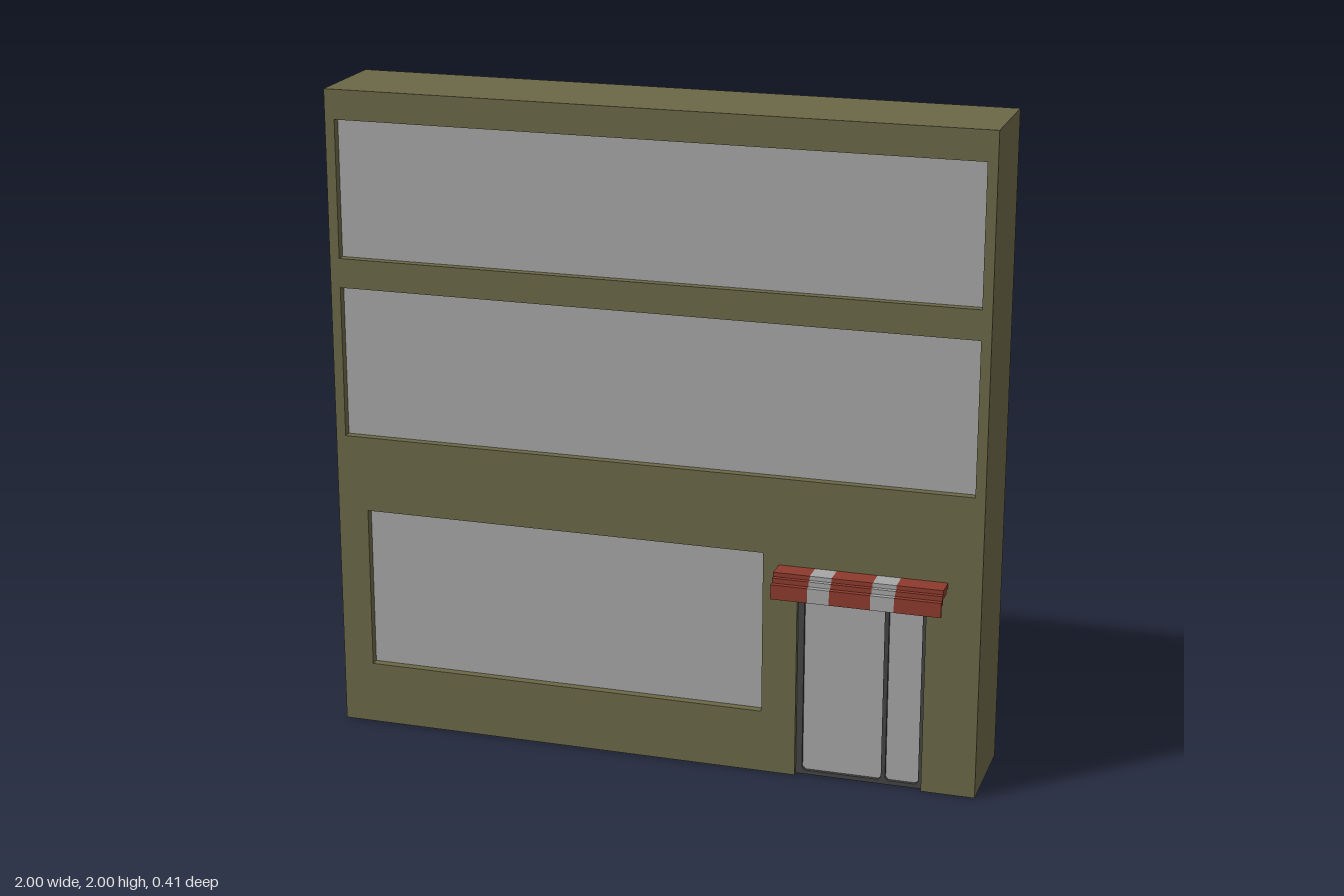
import * as THREE from 'three';

const BACK = -0.205, FRONT = 0.11, RECESS = 0.03;
const CORE = FRONT - RECESS;

// Closed path from [x, y] corners
const trace = (path, pts) => {
  pts.forEach(([x, y], i) => (i ? path.lineTo(x, y) : path.moveTo(x, y)));
  path.closePath();
  return path;
};
const rectPath = (x0, x1, y0, y1) => trace(new THREE.Path(), [[x0, y0], [x0, y1], [x1, y1], [x1, y0]]);
// Rectangle with chamfered corners
const chamferPath = (x0, x1, y0, y1, c = 0.009) => trace(new THREE.Path(), [
  [x0 + c, y0], [x0, y0 + c], [x0, y1 - c], [x0 + c, y1],
  [x1 - c, y1], [x1, y1 - c], [x1, y0 + c], [x1 - c, y0]]);

export function createModel() {
  const group = new THREE.Group();
  group.name = 'shopBuilding';
  const mat = (name, color) => {
    const m = new THREE.MeshStandardMaterial({ color });
    m.name = name;
    return m;
  };
  const olive = mat('oliveWall', 0x6a6746);
  const glass = mat('greyGlass', 0xa6a6a6);
  const dark = mat('darkFrame', 0x444444);
  const red = mat('redAwning', 0x8e3a2d);
  const white = mat('paleAwning', 0xa6a6a6);

  const add = (name, geometry, material, x = 0, y = 0, z = 0) => {
    const mesh = new THREE.Mesh(geometry, material);
    mesh.name = name;
    mesh.position.set(x, y, z);
    group.add(mesh);
    return mesh;
  };
  const box = (name, material, x0, x1, y0, y1, z0, z1) =>
    add(name, new THREE.BoxGeometry(x1 - x0, y1 - y0, z1 - z0), material,
      (x0 + x1) / 2, (y0 + y1) / 2, (z0 + z1) / 2);

  const door = { x0: 0.452, x1: 0.838, top: 0.576 };
  const windows = [
    [-0.97, 0.97, 1.49, 1.91],
    [-0.97, 0.97, 0.935, 1.40],
    [-0.905, 0.347, 0.195, 0.70],
  ];

  // Main block and the front wall with its openings
  const floor = 0.001;
  box('buildingBlock', olive, -1, 1, floor, 2, BACK, CORE);
  const wall = trace(new THREE.Shape(), [[-1, floor], [door.x0, floor], [door.x0, door.top],
    [door.x1, door.top], [door.x1, floor], [1, floor], [1, 2], [-1, 2]]);
  wall.holes = windows.map((w) => rectPath(...w));
  add('frontWall', new THREE.ExtrudeGeometry(wall, { depth: RECESS, bevelEnabled: false }), olive, 0, 0, CORE);

  // Dark underside, notched at the doorway
  const base = trace(new THREE.Shape(), [[-1, BACK], [1, BACK], [1, FRONT], [door.x1, FRONT],
    [door.x1, CORE], [door.x0, CORE], [door.x0, FRONT], [-1, FRONT]]);
  add('underside', new THREE.ShapeGeometry(base).rotateX(Math.PI / 2), dark);

  // Window panes
  windows.forEach(([x0, x1, y0, y1], i) =>
    box('windowPane' + (i + 1), glass, x0, x1, y0, y1, CORE - 0.002, CORE + 0.004));

  // Door: frame with one wide and one narrow opening over a pane
  const frame = trace(new THREE.Shape(), [[door.x0, floor], [door.x1, floor], [door.x1, door.top], [door.x0, door.top]]);
  frame.holes = [chamferPath(0.471, 0.713, 0.014, 0.56), chamferPath(0.726, 0.826, 0.014, 0.56)];
  add('doorFrame', new THREE.ExtrudeGeometry(frame, { depth: 0.014, bevelEnabled: false }), dark, 0, 0, CORE);
  box('doorPane', glass, 0.46, 0.832, 0.008, 0.566, CORE - 0.002, CORE + 0.004);

  // Stepped awning, profile drawn in z and y, cut into stripes along x
  const profile = trace(new THREE.Shape(), [[0.11, 0.668], [0.174, 0.668], [0.174, 0.655], [0.188, 0.655],
    [0.188, 0.64], [0.204, 0.64], [0.204, 0.595], [0.195, 0.595], [0.195, 0.626], [0.179, 0.626],
    [0.179, 0.642], [0.13, 0.642], [0.13, 0.653], [0.11, 0.653]].reverse());
  const cuts = [0.395, 0.505, 0.57, 0.692, 0.762, 0.9];
  for (let i = 0; i < cuts.length - 1; i++) {
    const stripe = new THREE.ExtrudeGeometry(profile, { depth: cuts[i + 1] - cuts[i], bevelEnabled: false });
    stripe.rotateY(-Math.PI / 2).scale(1, 1, 1); // profile x becomes z, depth runs to -x
    add('awningStripe' + (i + 1), stripe, i % 2 ? white : red, cuts[i + 1]);
  }
  return group;
}
